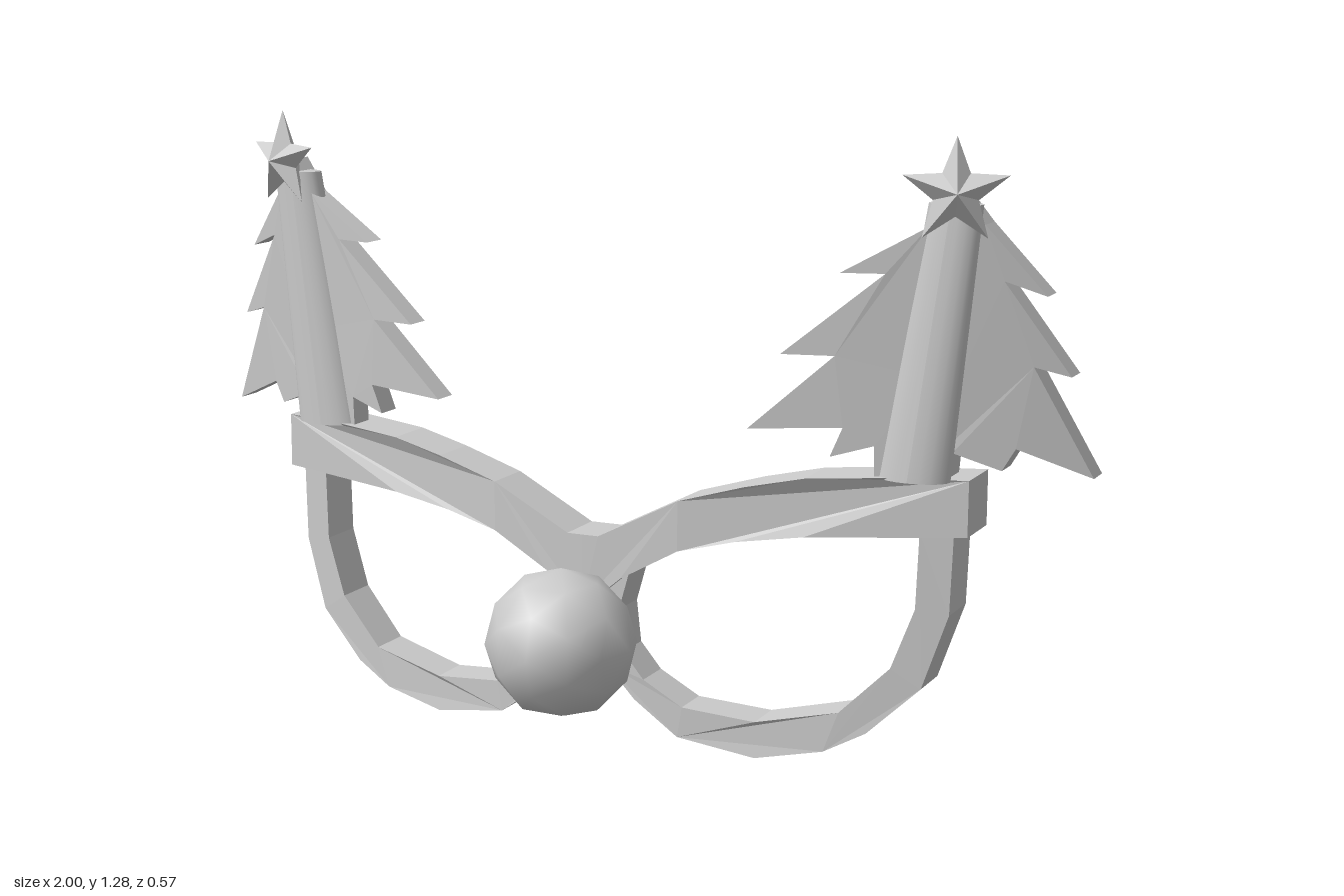
import * as THREE from 'three';

const grey = new THREE.MeshStandardMaterial({ color: 0xcccccc });
grey.name = 'plain grey';

// Move every vertex by a rule
function warp(geo, rule) {
  const p = geo.attributes.position, v = new THREE.Vector3();
  for (let i = 0; i < p.count; i++) {
    rule(v.fromBufferAttribute(p, i));
    p.setXYZ(i, v.x, v.y, v.z);
  }
  geo.computeVertexNormals();
  return geo;
}

// Extrude an outline between a back and a front surface
function slab(points, back, front) {
  const shape = new THREE.Shape(points.map(([x, y]) => new THREE.Vector2(x, y)));
  const geo = new THREE.ExtrudeGeometry(shape, { depth: 1, bevelEnabled: false });
  return warp(geo, v => { v.z = THREE.MathUtils.lerp(back(v.x, v.y), front(v.x, v.y), v.z); });
}

// Mirror to the other side, restoring the face order
function mirror(source) {
  const geo = source.index ? source.toNonIndexed() : source.clone();
  geo.clearGroups();
  geo.scale(-1, 1, 1);
  for (const a of Object.values(geo.attributes)) {
    const n = a.itemSize;
    for (let i = 0; i < a.count; i += 3)
      for (let k = 0; k < n; k++) {
        const t = a.array[(i + 1) * n + k];
        a.array[(i + 1) * n + k] = a.array[(i + 2) * n + k];
        a.array[(i + 2) * n + k] = t;
      }
  }
  return geo;
}

// Five-pointed star with raised centres on both sides
function starGeometry(outer, inner, depth) {
  const pos = [];
  const pt = i => {
    const r = i % 2 ? inner : outer, a = Math.PI / 2 + i * Math.PI / 5;
    return [r * Math.cos(a), r * Math.sin(a), 0];
  };
  for (let i = 0; i < 10; i++) {
    pos.push(...pt(i), ...pt(i + 1), 0, 0, depth);
    pos.push(...pt(i + 1), ...pt(i), 0, 0, -depth);
  }
  const geo = new THREE.BufferGeometry();
  geo.setAttribute('position', new THREE.Float32BufferAttribute(pos, 3));
  geo.computeVertexNormals();
  return geo;
}

export function createModel() {
  const model = new THREE.Group();
  model.name = 'festiveGlasses';

  const add = (name, geo) => {
    const mesh = new THREE.Mesh(geo, grey);
    mesh.name = name;
    model.add(mesh);
  };
  const addPair = (name, geo) => {
    add(name + 'Left', geo);
    add(name + 'Right', mirror(geo));
  };

  // Brow bar, curving back towards the temples
  const brow = [[0, 0.3], [0.05, 0.33], [0.085, 0.36], [0.21, 0.43], [0.33, 0.46], [0.47, 0.48], [0.785, 0.495],
    [0.785, 0.61], [0.63, 0.61], [0.47, 0.6], [0.35, 0.575], [0.21, 0.535], [0.035, 0.445], [0, 0.445]];
  addPair('browBar', slab(brow, x => -0.09 - 0.215 * x * x, x => 0.025 - 0.2 * x * x));

  // Lens rim, an open loop hanging from the brow bar
  const rim = [[0.755, 0.5], [0.75, 0.33], [0.7, 0.175], [0.595, 0.075], [0.51, 0.03], [0.37, 0.003], [0.205, 0.03],
    [0.11, 0.1], [0.045, 0.17], [0.015, 0.25], [0.005, 0.35], [0.1, 0.38],
    [0.075, 0.29], [0.085, 0.2], [0.13, 0.145], [0.215, 0.095], [0.37, 0.08], [0.54, 0.115],
    [0.64, 0.215], [0.685, 0.34], [0.69, 0.5]].reverse();
  addPair('lensRim', slab(rim, x => -0.08 - 0.235 * x * x, x => 0.008 - 0.2 * x * x));

  // Tree in two halves that meet along the trunk line
  const treeBack = (x, y) => -0.035 - 0.25 * x * x + 0.06 * (y - 0.61);
  const treeFront = (x, y) => treeBack(x, y) + 0.06;
  const spine = [[0.755, 1.18], [0.725, 0.98], [0.7, 0.81], [0.67, 0.605]];
  const outerHalf = [...spine, [0.74, 0.605], [0.745, 0.66], [0.835, 0.625], [0.86, 0.67], [1, 0.61],
    [0.89, 0.835], [0.957, 0.815], [0.835, 1.005], [0.912, 0.975], [0.8, 1.115]];
  const innerHalf = [...spine, [0.6, 0.605], [0.6, 0.67], [0.515, 0.645], [0.54, 0.705], [0.353, 0.695],
    [0.525, 0.85], [0.42, 0.85], [0.62, 1.016], [0.535, 1.016], [0.7, 1.11]];
  addPair('treeOuterHalf', slab(outerHalf, treeBack, treeFront));
  addPair('treeInnerHalf', slab(innerHalf, treeBack, treeFront));

  // Rounded swelling up the front of the tree
  const swell = new THREE.CylinderGeometry(0.055, 0.075, 0.55, 20);
  addPair('treeSwelling', warp(swell, v => {
    v.x += 0.71 + v.y * 0.13;
    v.y += 0.88;
    v.z = v.z * 0.6 - 0.09;
  }));

  // Star on the treetop, turned outwards
  const star = starGeometry(0.108, 0.046, 0.04);
  star.rotateY(0.38);
  star.translate(0.757, 1.18, -0.05);
  addPair('star', star);

  // Round nose
  const nose = new THREE.IcosahedronGeometry(0.157, 1);
  nose.translate(0, 0.24, 0.125);
  add('nose', nose);

  return model;
}
